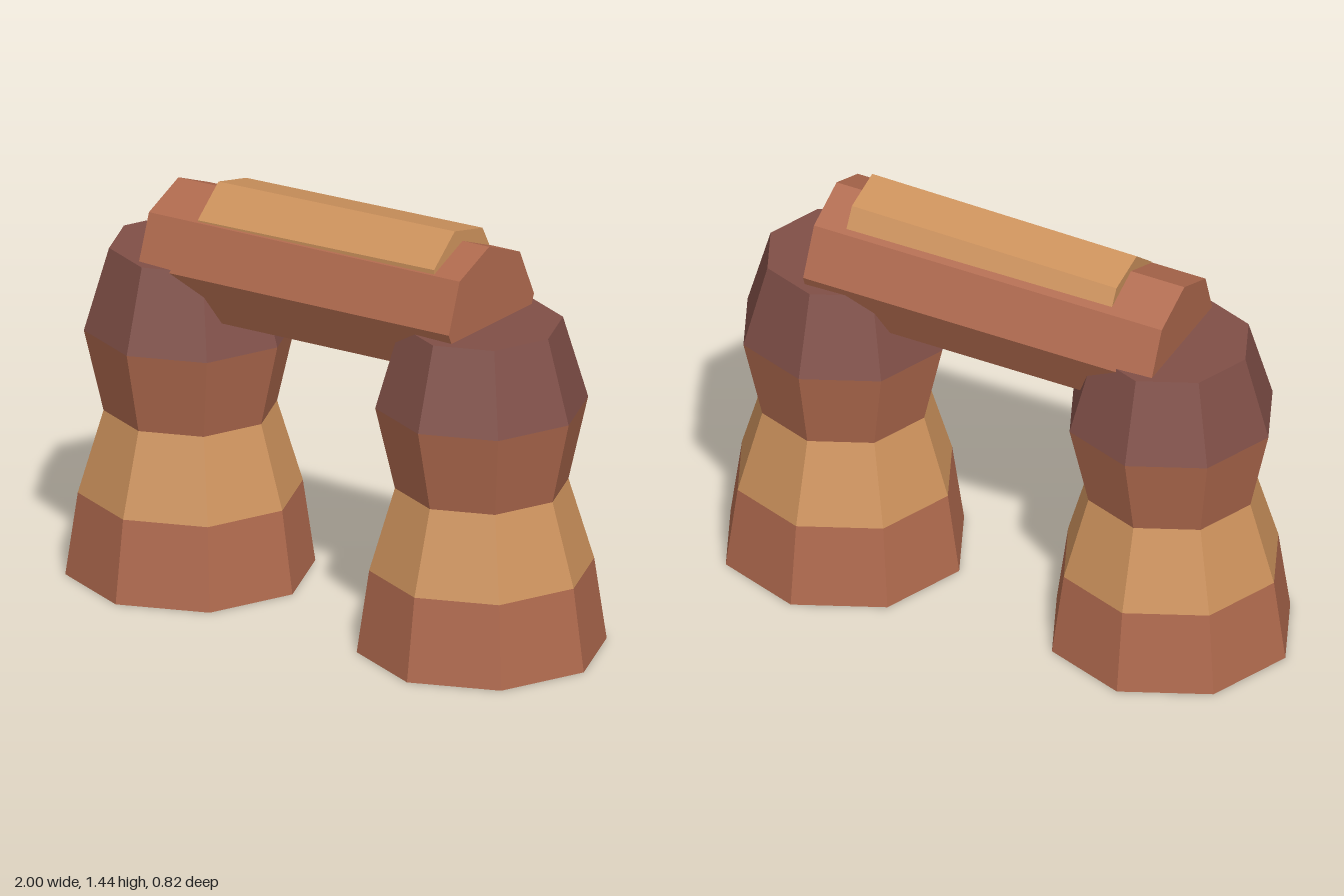
import * as THREE from 'three';

const material = (name, color) => {
  const m = new THREE.MeshStandardMaterial({ color, flatShading: true });
  m.name = name;
  return m;
};

export function createModel() {
  const brick = material('brick red rock', 0xb06a4e);
  const tan = material('tan rock', 0xcd925c);
  const umber = material('dark umber rock', 0x804f47);

  const model = new THREE.Group();
  model.name = 'rockArch';

  // Pillar: four stacked eight-sided bands, with end faces only at foot and top
  const radii = [0.412, 0.371, 0.286, 0.351, 0.268];
  const bands = [['footBand', brick], ['lowerBand', tan], ['upperBand', brick], ['topBand', umber]];
  const bandHeight = 1.133 / bands.length;
  const addCap = (parent, name, radius, y, tilt, mat) => {
    const cap = new THREE.Mesh(new THREE.CircleGeometry(radius, 8).rotateX(tilt), mat);
    cap.name = name;
    cap.position.y = y;
    parent.add(cap);
  };
  for (const side of [-1, 1]) {
    const pillar = new THREE.Group();
    pillar.name = side > 0 ? 'leftPillar' : 'rightPillar';
    pillar.position.x = side * 0.588;
    bands.forEach(([name, mat], i) => {
      const band = new THREE.Mesh(
        new THREE.CylinderGeometry(radii[i + 1], radii[i], bandHeight, 8, 1, true), mat);
      band.name = name;
      band.position.y = (i + 0.5) * bandHeight;
      pillar.add(band);
    });
    addCap(pillar, 'pillarBase', radii[0], 0, Math.PI / 2, brick);
    addCap(pillar, 'pillarTop', radii[4], 1.133, -Math.PI / 2, umber);
    model.add(pillar);
  }

  // Prisms lying along x, slightly raised towards +x
  const addPrism = (name, radius, length, sides, start, mat, x, y, tilt) => {
    const geometry = new THREE.CylinderGeometry(radius, radius, length, sides, 1, false, start);
    const prism = new THREE.Mesh(geometry.rotateZ(Math.PI / 2), mat);
    prism.name = name;
    prism.position.set(x, y, 0);
    prism.rotation.z = tilt;
    model.add(prism);
  };
  addPrism('lintel', 0.235, 1.255, 8, 0, brick, 0, 1.142, 0.038);
  addPrism('lintelCrest', 0.178, 0.955, 7, Math.PI, tan, 0.04, 1.245, 0.049);

  return model;
}
